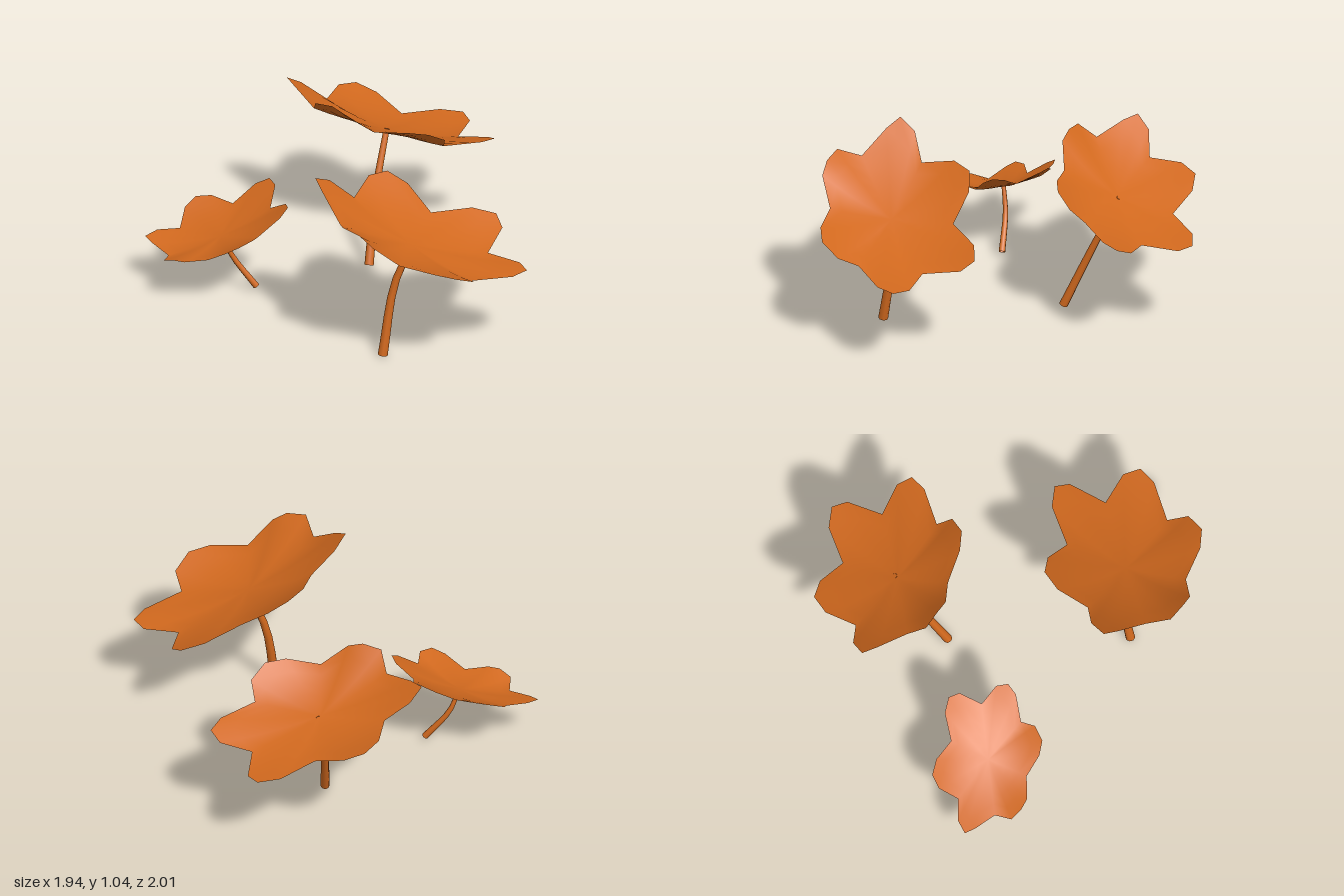
import * as THREE from 'three';

const material = new THREE.MeshStandardMaterial({ color: 0xd2691e, side: THREE.DoubleSide });

// Plan outline of the six-lobed leaf: each row is notch, side, tip, side as x, z
const OUTLINE = [
  [-0.285, -0.288, -0.18, -0.438, -0.063, -0.483, 0.058, -0.433],
  [0.189, -0.288, 0.423, -0.32, 0.548, -0.275, 0.57, -0.183],
  [0.458, -0.004, 0.591, 0.123, 0.596, 0.219, 0.503, 0.275],
  [0.274, 0.297, 0.229, 0.40, 0.104, 0.443, -0.013, 0.407],
  [-0.17, 0.292, -0.355, 0.264, -0.429, 0.207, -0.501, 0.12],
  [-0.455, -0.004, -0.538, -0.182, -0.566, -0.274, -0.457, -0.316],
].flat();
const RIM_HEIGHT = [0.063, 0.125, 0.147, 0.125]; // notch, side, tip, side
const CENTRE_HEIGHT = 0.025;

// Shallow bowl: rings shrink from the outline to the centre
function leafGeometry() {
  const n = OUTLINE.length / 2, rings = 5;
  const positions = [0, CENTRE_HEIGHT, 0], index = [];
  for (let r = 1; r <= rings; r++) {
    const t = r / rings;
    for (let i = 0; i < n; i++) {
      const y = CENTRE_HEIGHT + (RIM_HEIGHT[i % 4] - CENTRE_HEIGHT) * t * t;
      positions.push(OUTLINE[2 * i] * t, y, OUTLINE[2 * i + 1] * t);
    }
  }
  for (let i = 0; i < n; i++) {
    const j = (i + 1) % n;
    index.push(0, 1 + j, 1 + i);
    for (let r = 0; r < rings - 1; r++) {
      const a = 1 + r * n, b = a + n;
      index.push(a + i, a + j, b + i, a + j, b + j, b + i);
    }
  }
  const geometry = new THREE.BufferGeometry();
  geometry.setAttribute('position', new THREE.Float32BufferAttribute(positions, 3));
  geometry.setIndex(index);
  geometry.computeVertexNormals();
  return geometry;
}

// Bent tube that narrows towards the leaf
function stemGeometry(points, radius) {
  const curve = new THREE.CatmullRomCurve3(points.map((p) => new THREE.Vector3(...p)));
  const segments = 6, sides = 8;
  const geometry = new THREE.TubeGeometry(curve, segments, radius, sides);
  const position = geometry.attributes.position, v = new THREE.Vector3();
  for (let i = 0; i < position.count; i++) {
    const u = Math.floor(i / (sides + 1)) / segments;
    v.fromBufferAttribute(position, i).lerp(curve.getPointAt(u), 0.35 * u);
    position.setXYZ(i, v.x, v.y, v.z);
  }
  return geometry;
}

// Each plant: leaf centre, leaf normal, leaf long axis, size and stem path
const PLANTS = [
  {
    name: 'frontPlant', centre: [-0.329, 0.658, 0.529], normal: [0.26, 0.917, 0.303],
    axis: [0.857, -0.363, 0.364], size: 1,
    stem: [[-0.46, 0.01, 0.46], [-0.38, 0.42, 0.465], [-0.31, 0.67, 0.53]],
  },
  {
    name: 'backLeftPlant', centre: [0.381, 0.685, -0.487], normal: [0.375, 0.927, -0.02],
    axis: [0.836, -0.318, 0.448], size: 0.935,
    stem: [[0.14, 0.016, -0.33], [0.28, 0.4, -0.43], [0.41, 0.7, -0.49]],
  },
  {
    name: 'backRightPlant', centre: [-0.636, 0.335, -0.659], normal: [-0.367, 0.92, -0.136],
    axis: [0.49, 0.235, 0.29], size: 0.67,
    stem: [[-0.51, 0.045, -0.52], [-0.59, 0.22, -0.63], [-0.633, 0.352, -0.66]],
  },
];

export function createModel() {
  const model = new THREE.Group();
  const leafShape = leafGeometry();
  for (const { name, centre, normal, axis, size, stem } of PLANTS) {
    const plant = new THREE.Group();
    plant.name = name;

    const leaf = new THREE.Mesh(leafShape, material);
    leaf.name = 'leaf';
    const y = new THREE.Vector3(...normal).normalize();
    const z = new THREE.Vector3(...axis).cross(y).normalize();
    const x = new THREE.Vector3().crossVectors(y, z);
    leaf.quaternion.setFromRotationMatrix(new THREE.Matrix4().makeBasis(x, y, z));
    leaf.position.set(...centre);
    leaf.scale.setScalar(size);

    const stalk = new THREE.Mesh(stemGeometry(stem, 0.027 * size), material);
    stalk.name = 'stem';
    plant.add(leaf, stalk);
    model.add(plant);
  }
  return model;
}
